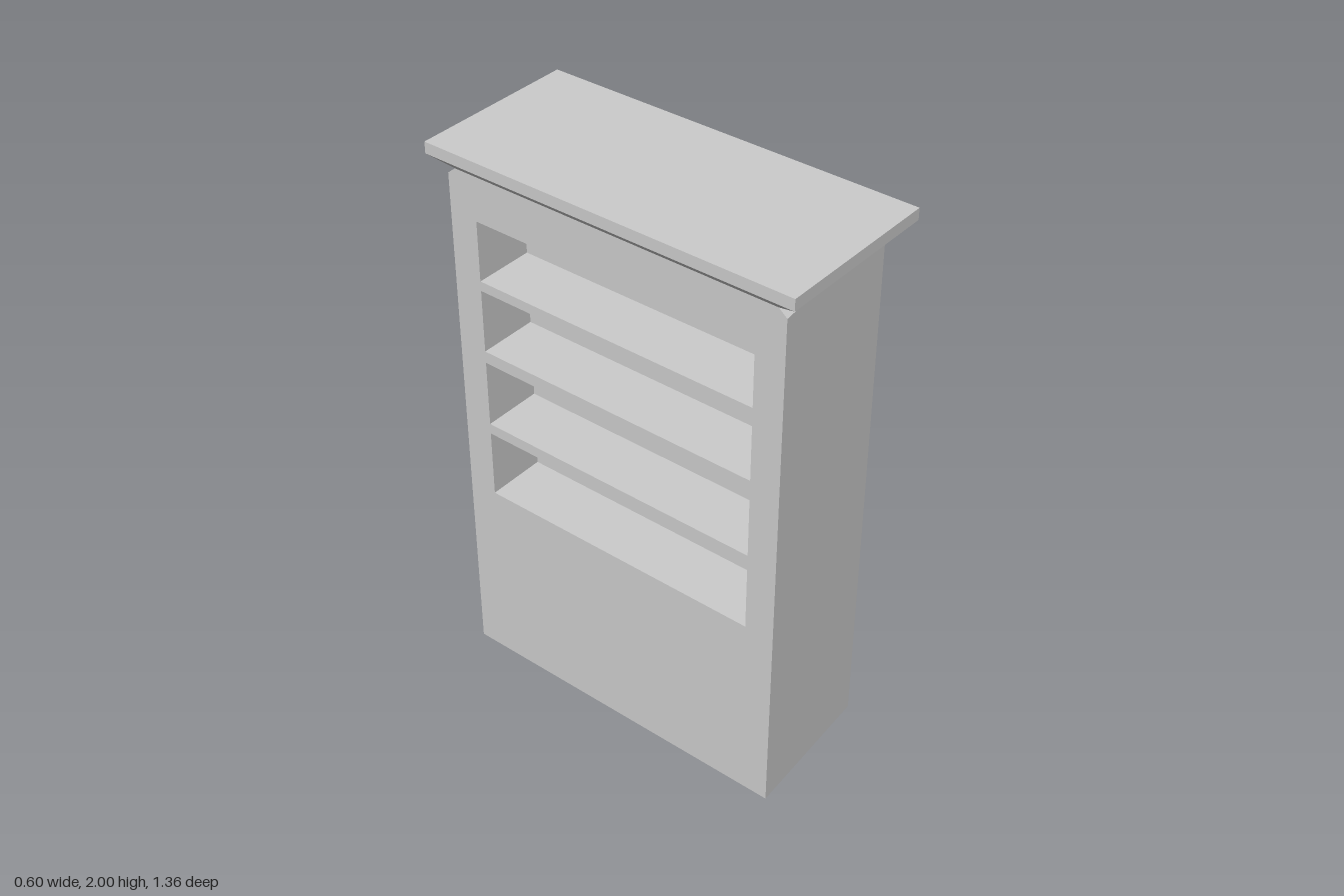
import * as THREE from 'three';

const material = new THREE.MeshStandardMaterial({ color: 0xcccccc, flatShading: true });

// Flat-shaded surface from convex polygons, corners counter-clockwise from outside
function polygonMesh(name, polygons) {
  const pos = [];
  for (const p of polygons)
    for (let i = 1; i < p.length - 1; i++) pos.push(...p[0], ...p[i], ...p[i + 1]);
  const geo = new THREE.BufferGeometry();
  geo.setAttribute('position', new THREE.Float32BufferAttribute(pos, 3));
  geo.computeVertexNormals();
  return named(name, geo);
}

function named(name, geo) {
  const mesh = new THREE.Mesh(geo, material);
  mesh.name = name;
  return mesh;
}

const mirrorZ = (p) => p.map(([x, y, z]) => [x, y, -z]).reverse();

export function createModel() {
  const model = new THREE.Group();
  model.name = 'bookcase';

  const xOpen = -0.26, xBack = 0.26, xRecess = -0.045;
  const zOpen = 0.63, zBack = 0.6, zShelf = 0.525;
  const yTop = 1.92, ySide = 1.895;
  const shelves = [[0.707, 0.957], [0.996, 1.24], [1.284, 1.513], [1.548, 1.763]];

  // Cabinet shell: sides flare toward the open face, with a sliver of bevel on top
  const A = [xOpen, 0, zOpen], B = [xOpen, ySide, zOpen], C = [xOpen, yTop, zBack];
  const D = [xBack, 0, zBack], E = [xBack, yTop, zBack];
  const flip = ([x, y, z]) => [x, y, -z];
  const side = [A, D, E, B], bevel = [B, E, C];
  model.add(polygonMesh('cabinetShell', [
    side, bevel, mirrorZ(side), mirrorZ(bevel),
    [D, flip(D), flip(E), E],
    [C, E, flip(E), flip(C)],
    [A, flip(A), flip(D), D],
  ]));

  // Open face with the shelf openings cut out
  const outline = [[-zOpen, 0], [zOpen, 0], [zOpen, ySide], [zBack, yTop], [-zBack, yTop], [-zOpen, ySide]];
  const face = new THREE.Shape(outline.map(([z, y]) => new THREE.Vector2(z, y)));
  for (const [lo, hi] of shelves) {
    const hole = [[-zShelf, lo], [-zShelf, hi], [zShelf, hi], [zShelf, lo]];
    face.holes.push(new THREE.Path(hole.map(([z, y]) => new THREE.Vector2(z, y))));
  }
  const faceMesh = named('shelfFrame', new THREE.ShapeGeometry(face).rotateY(-Math.PI / 2));
  faceMesh.position.x = xOpen;
  model.add(faceMesh);

  // Recessed compartments: floor, ceiling, back wall and two ends
  shelves.forEach(([lo, hi], i) => {
    const v = (x, y, s) => [x, y, s * zShelf];
    const end = [v(xOpen, lo, -1), v(xRecess, lo, -1), v(xRecess, hi, -1), v(xOpen, hi, -1)];
    model.add(polygonMesh('shelfCompartment' + (i + 1), [
      end, mirrorZ(end),
      [v(xOpen, lo, 1), v(xRecess, lo, 1), v(xRecess, lo, -1), v(xOpen, lo, -1)],
      [v(xOpen, hi, -1), v(xRecess, hi, -1), v(xRecess, hi, 1), v(xOpen, hi, 1)],
      [v(xRecess, lo, -1), v(xRecess, lo, 1), v(xRecess, hi, 1), v(xRecess, hi, -1)],
    ]));
  });

  // Cornice: a box whose lower rim is drawn in to the cabinet top
  const cornice = new THREE.BoxGeometry(0.6, 0.04, 1.36);
  const p = cornice.attributes.position;
  for (let i = 0; i < p.count; i++)
    if (p.getY(i) < 0) {
      p.setX(i, Math.sign(p.getX(i)) * xBack);
      p.setZ(i, Math.sign(p.getZ(i)) * zBack);
    }
  cornice.computeVertexNormals();
  const corniceMesh = named('cornice', cornice);
  corniceMesh.position.y = 1.94;
  model.add(corniceMesh);

  // Top slab
  const slab = named('topSlab', new THREE.BoxGeometry(0.6, 0.04, 1.36));
  slab.position.y = 1.98;
  model.add(slab);

  return model;
}
